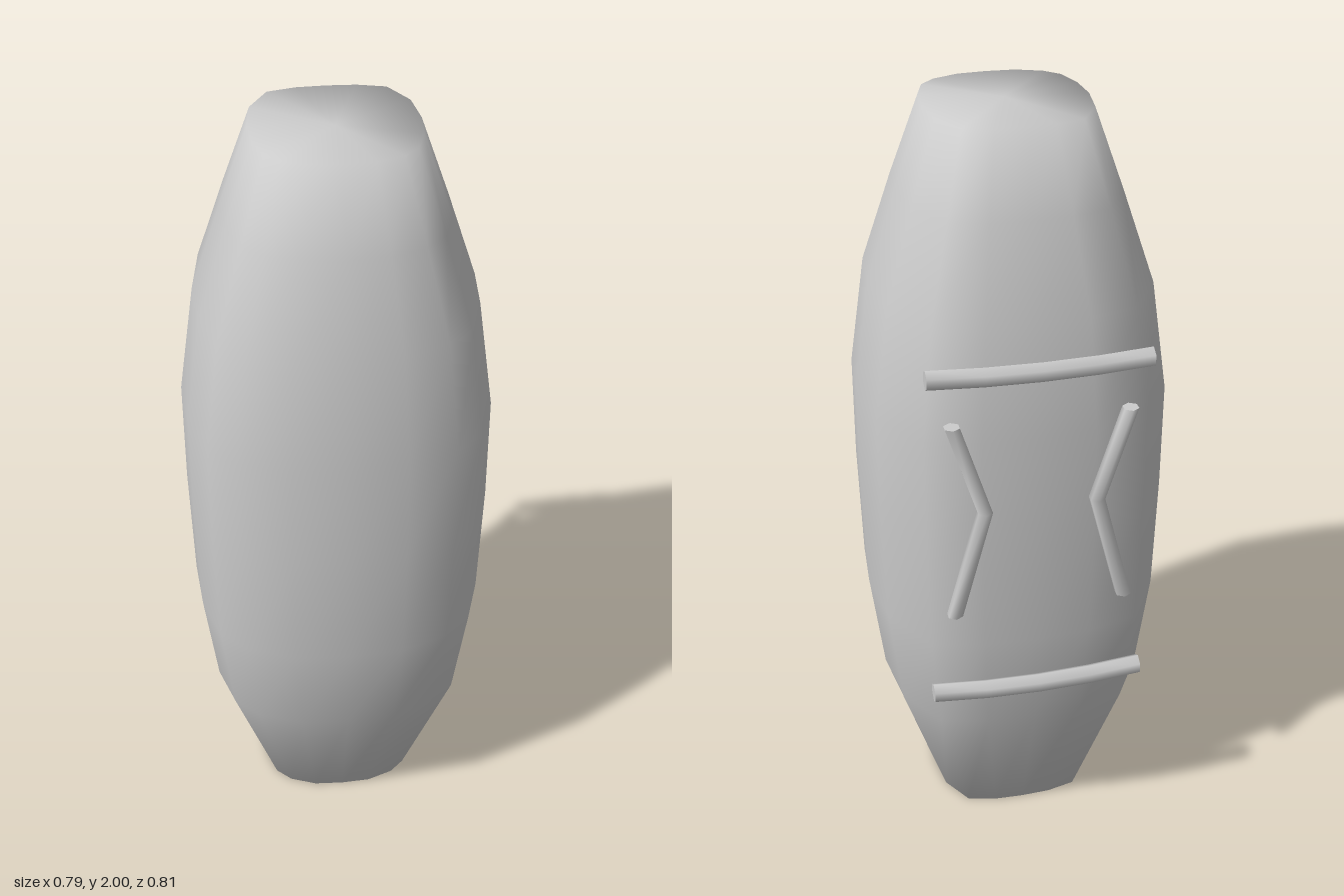
import * as THREE from 'three';

const material = new THREE.MeshStandardMaterial({ color: 0xcccccc });

// Skin a list of rings (arrays of Vector3, counter-clockwise about the path) and close both ends
function loft(rings, sharpEnds) {
  const n = rings[0].length, pos = [], idx = [];
  const addRing = ring => {
    const start = pos.length / 3;
    ring.forEach(p => pos.push(p.x, p.y, p.z));
    return start;
  };
  rings.forEach(addRing);
  for (let i = 0; i < rings.length - 1; i++) {
    for (let j = 0; j < n; j++) {
      const a = i * n + j, b = i * n + (j + 1) % n;
      idx.push(a, b, b + n, a, b + n, a + n);
    }
  }
  [0, rings.length - 1].forEach(i => {
    const ring = rings[i];
    const start = sharpEnds ? addRing(ring) : i * n;
    const mid = ring.reduce((s, p) => s.add(p), new THREE.Vector3()).divideScalar(n);
    const c = addRing([mid]);
    for (let j = 0; j < n; j++) {
      const a = start + j, b = start + (j + 1) % n;
      if (i === 0) idx.push(c, b, a);
      else idx.push(c, a, b);
    }
  });
  const g = new THREE.BufferGeometry();
  g.setAttribute('position', new THREE.Float32BufferAttribute(pos, 3));
  g.setIndex(idx);
  g.computeVertexNormals();
  return g;
}

// Six-sided rod along a bent path; u and v span the plane of each ring
function rod(points, radius, u, v) {
  const rings = points.map(p => Array.from({ length: 6 }, (_, j) => {
    const a = j * Math.PI / 3;
    return new THREE.Vector3(...p)
      .addScaledVector(u, radius * Math.cos(a))
      .addScaledVector(v, radius * Math.sin(a));
  }));
  return loft(rings, true);
}

export function createModel() {
  const group = new THREE.Group();
  const add = (name, geometry) => {
    const mesh = new THREE.Mesh(geometry, material);
    mesh.name = name;
    group.add(mesh);
  };

  // Rounded-square outline (x, z), half of it, from front to back
  const half = [[0, 1], [0.36, 0.98], [0.68, 0.86], [0.86, 0.69], [0.97, 0.35],
    [1, -0.05], [0.94, -0.52], [0.71, -0.9], [0.36, -0.985], [0, -1]];
  const outline = [...half, ...half.slice(1, -1).reverse().map(([x, z]) => [-x, z])];

  // Pod body: height, half width, front z, back z
  const sections = [
    [0, 0.217, 0.22, -0.21], [0.4, 0.35, 0.36, -0.34], [0.68, 0.385, 0.4, -0.37],
    [1, 0.394, 0.403, -0.372], [1.28, 0.394, 0.392, -0.37], [1.57, 0.352, 0.362, -0.343],
    [1.8, 0.275, 0.295, -0.27], [2, 0.204, 0.22, -0.2]];
  add('podBody', loft(sections.map(([y, w, front, back]) => outline.map(([x, z]) =>
    new THREE.Vector3(x * w, y, (front + back) / 2 + z * (front - back) / 2))), false));

  const X = new THREE.Vector3(1, 0, 0);
  const Y = new THREE.Vector3(0, 1, 0);
  const Z = new THREE.Vector3(0, 0, 1);

  // Bowed crossbars on the back
  for (const [name, y] of [['upperCrossbar', 1.465], ['lowerCrossbar', 0.545]]) {
    const path = [-0.277, -0.14, 0, 0.14, 0.277].map(x => [x, y, -0.38 + 0.26 * x * x]);
    add(name, rod(path, 0.026, Y, Z));
  }

  // Chevron rods pointing inwards between the crossbars
  for (const [name, s] of [['leftChevron', 1], ['rightChevron', -1]]) {
    const path = [[s * 0.22, 0.8, -0.38], [s * 0.142, 1.1, -0.383], [s * 0.22, 1.345, -0.38]];
    add(name, rod(path, 0.021, Z, X));
  }

  return group;
}
